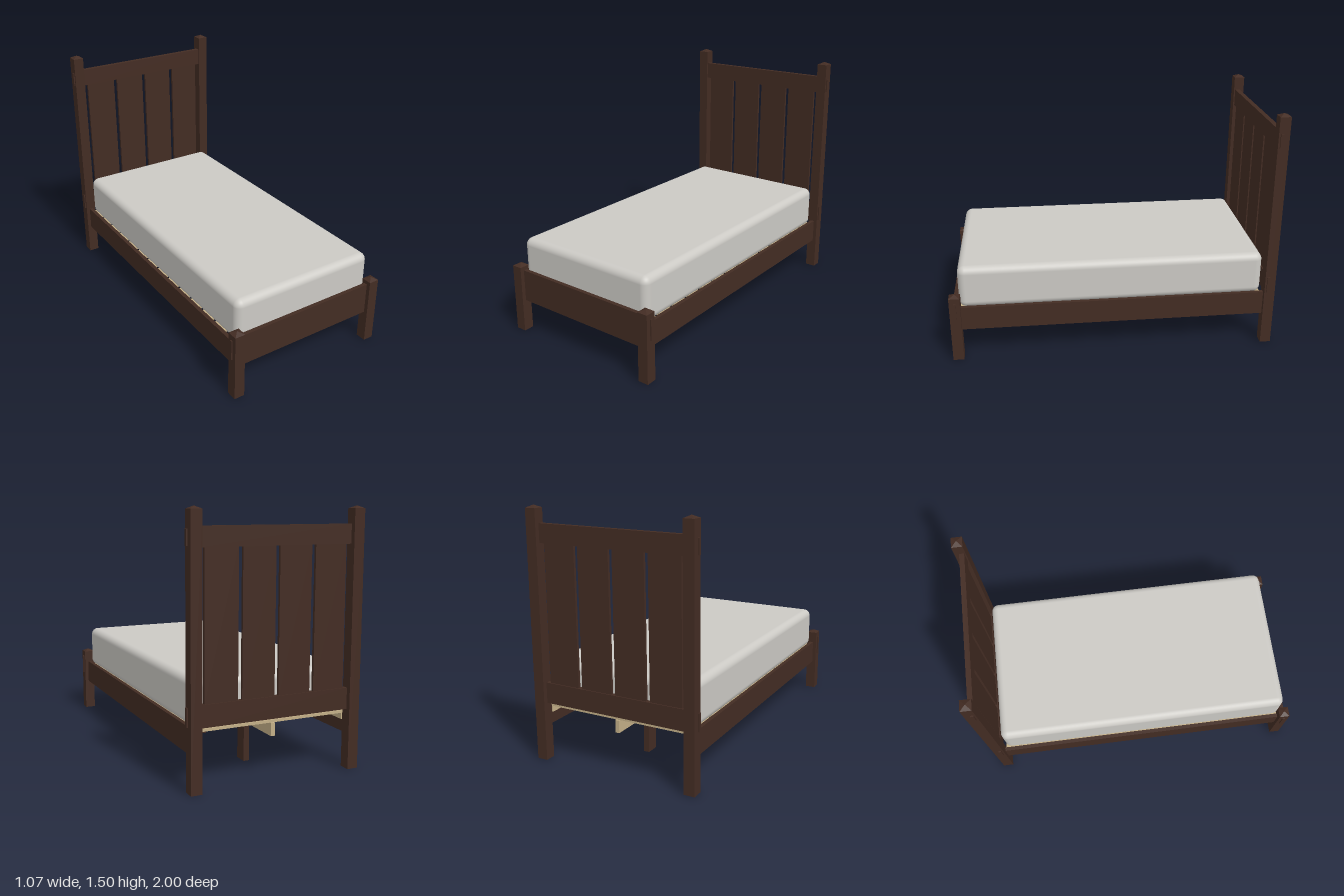
import * as THREE from 'three';
import { RoundedBoxGeometry } from 'three/addons/geometries/RoundedBoxGeometry.js';

export function createModel() {
  const bed = new THREE.Group();
  bed.name = 'bed';
  const material = (name, color) => {
    const m = new THREE.MeshStandardMaterial({ color });
    m.name = name;
    return m;
  };
  const walnut = material('dark walnut', 0x432c23);
  const pine = material('pale pine', 0xc4b088);
  const fabric = material('mattress fabric', 0xcccac5);

  const add = (name, geometry, mat, x, y, z) => {
    const mesh = new THREE.Mesh(geometry, mat);
    mesh.name = name;
    mesh.position.set(x, y, z);
    bed.add(mesh);
  };
  // Box given by its extents on each axis
  const box = (name, mat, [x0, x1], [y0, y1], [z0, z1]) =>
    add(name, new THREE.BoxGeometry(x1 - x0, y1 - y0, z1 - z0), mat,
      (x0 + x1) / 2, (y0 + y1) / 2, (z0 + z1) / 2);

  // Square post with a shallow pyramid cap
  const postSize = 0.066, capHeight = 0.016;
  const post = (name, x, z, height) => {
    const shaft = height - capHeight;
    add(name, new THREE.BoxGeometry(postSize, shaft, postSize), walnut, x, shaft / 2, z);
    const cap = new THREE.ConeGeometry(postSize / Math.SQRT2, capHeight, 4, 1, true)
      .rotateY(Math.PI / 4).toNonIndexed();
    cap.computeVertexNormals();
    add(name + 'Cap', cap, walnut, x, shaft + capHeight / 2, z);
  };
  for (const s of [-1, 1]) {
    post('headPost', s * 0.492, -0.967, 1.5);
    post('footPost', s * 0.492, 0.967, 0.44);
    // Side rail with the ledge that carries the slats
    box('sideRail', walnut, s < 0 ? [-0.502, -0.478] : [0.478, 0.502], [0.2, 0.35], [-0.935, 0.935]);
    box('slatLedge', pine, s < 0 ? [-0.478, -0.455] : [0.455, 0.478], [0.28, 0.315], [-0.93, 0.94]);
  }

  // Cross rails between the posts
  box('headTopRail', walnut, [-0.46, 0.46], [1.29, 1.4], [-0.972, -0.942]);
  box('headLowerRail', walnut, [-0.46, 0.46], [0.35, 0.475], [-0.972, -0.942]);
  box('footRail', walnut, [-0.46, 0.46], [0.2, 0.4], [0.951, 0.975]);

  // Tenons passing through the posts
  box('headTopTenon', walnut, [-0.533, 0.533], [1.3, 1.387], [-0.962, -0.945]);
  box('headLowerTenon', walnut, [-0.533, 0.533], [0.36, 0.465], [-0.962, -0.945]);
  box('footTenon', walnut, [-0.533, 0.533], [0.263, 0.39], [0.958, 0.973]);

  // Four headboard panels
  for (let i = 0; i < 4; i++) {
    const x = (i - 1.5) * 0.2225;
    box('headPanel', walnut, [x - 0.099, x + 0.099], [0.46, 1.3], [-0.965, -0.949]);
  }

  // Centre beam and its three legs
  box('centreBeam', pine, [-0.0125, 0.0125], [0.24, 0.315], [-0.935, 0.95]);
  for (const z of [-0.585, 0.013, 0.611])
    box('centreLeg', walnut, [-0.0175, 0.0175], [0, 0.243], [z - 0.041, z + 0.041]);

  // Slats
  const slatCount = 14;
  for (let i = 0; i < slatCount; i++) {
    const z = -0.875 + i * (1.765 / (slatCount - 1));
    box('slat', pine, [-0.477, 0.477], [0.315, 0.331], [z - 0.05, z + 0.05]);
  }

  // Mattress
  add('mattress', new RoundedBoxGeometry(0.954, 0.27, 1.87, 5, 0.045), fabric, 0, 0.465, 0.01);
  return bed;
}
